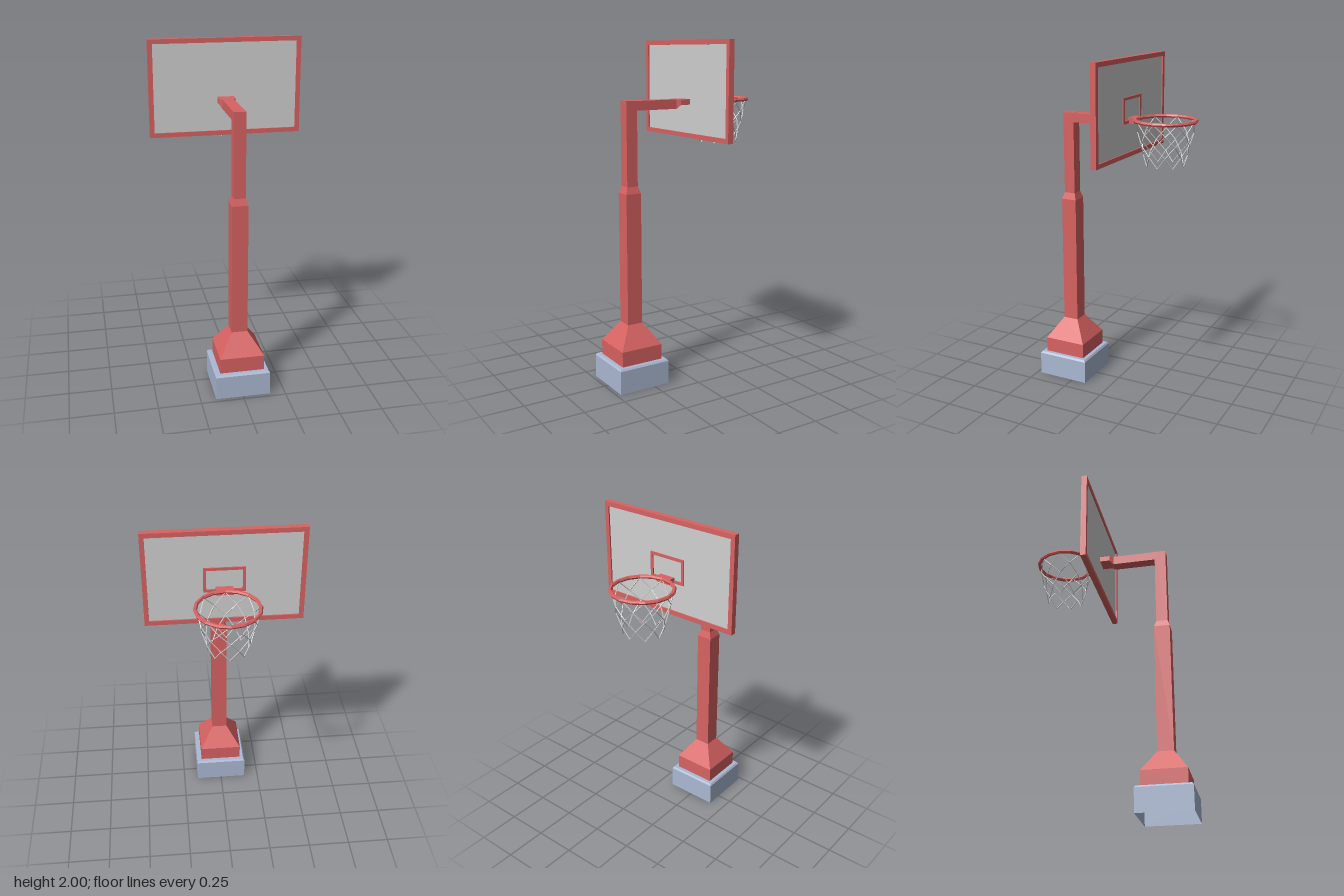
import * as THREE from 'three';

const red = new THREE.MeshStandardMaterial({ color: 0xd86262, side: THREE.DoubleSide });
red.name = 'red paint';
const blue = new THREE.MeshStandardMaterial({ color: 0xabb9d3, side: THREE.DoubleSide });
blue.name = 'blue grey base';
const grey = new THREE.MeshStandardMaterial({ color: 0xd0d0d0 });
grey.name = 'light grey';

const POLE_Z = 0.315, HOOP_Z = -0.294, BOARD_Z = -0.072;

// Gives every face its own flat normal
function flat(geo) {
  const g = geo.index ? geo.toNonIndexed() : geo;
  g.computeVertexNormals();
  return g;
}

function add(group, name, geo, mat, x = 0, y = 0, z = 0) {
  const mesh = new THREE.Mesh(geo, mat);
  mesh.name = name;
  mesh.position.set(x, y, z);
  group.add(mesh);
  return mesh;
}

// Square tower from [half width, height] pairs
function squareTower(profile) {
  const pts = profile.map(([w, y]) => new THREE.Vector2(w * Math.SQRT2, y));
  return flat(new THREE.LatheGeometry(pts, 4, Math.PI / 4));
}

// Rectangular beam along -z from sections [z, half width, bottom, top]
function beam(sections) {
  const pos = [], idx = [];
  sections.forEach(([z, w, b, t]) => pos.push(-w, b, z, w, b, z, w, t, z, -w, t, z));
  const n = sections.length;
  for (let s = 0; s < n - 1; s++) {
    for (let k = 0; k < 4; k++) {
      const a = s * 4 + k, b = s * 4 + (k + 1) % 4;
      idx.push(a, a + 4, b, b, a + 4, b + 4);
    }
  }
  const e = (n - 1) * 4;
  idx.push(0, 1, 2, 0, 2, 3, e, e + 2, e + 1, e, e + 3, e + 2);
  const g = new THREE.BufferGeometry();
  g.setAttribute('position', new THREE.Float32BufferAttribute(pos, 3));
  g.setIndex(idx);
  return flat(g);
}

// Rectangular frame centred on its own origin
function frame(w, h, border, depth) {
  const rect = (S, a, b) => new S([
    new THREE.Vector2(-a, -b), new THREE.Vector2(a, -b),
    new THREE.Vector2(a, b), new THREE.Vector2(-a, b)]);
  const shape = rect(THREE.Shape, w / 2, h / 2);
  shape.holes.push(rect(THREE.Path, w / 2 - border, h / 2 - border));
  const g = new THREE.ExtrudeGeometry(shape, { depth, bevelEnabled: false });
  g.translate(0, 0, -depth / 2);
  return g;
}

function createNet() {
  const net = new THREE.Group();
  net.name = 'net';
  // Rows of knots: [radius, height]
  const rows = [[0.168, 1.655], [0.158, 1.59], [0.144, 1.527], [0.125, 1.463], [0.11, 1.4]];
  const count = 8, up = new THREE.Vector3(0, 1, 0);
  const knot = (r, i) => {
    const a = (i + (r % 2) * 0.5) / count * Math.PI * 2;
    return new THREE.Vector3(Math.sin(a) * rows[r][0], rows[r][1], Math.cos(a) * rows[r][0]);
  };
  for (let r = 0; r < rows.length - 1; r++) {
    for (let i = 0; i < count; i++) {
      for (const side of [0, 1]) {
        const a = knot(r, i), b = knot(r + 1, i + side - (r % 2 ? 0 : 1));
        const dir = b.clone().sub(a);
        const geo = flat(new THREE.CylinderGeometry(0.003, 0.003, dir.length(), 4));
        const strand = add(net, 'netStrand', geo, grey);
        strand.position.copy(a).add(b).multiplyScalar(0.5);
        strand.quaternion.setFromUnitVectors(up, dir.normalize());
      }
    }
  }
  net.position.z = HOOP_Z;
  return net;
}

export function createModel() {
  const model = new THREE.Group();
  model.name = 'basketballHoop';

  // Hollow foot, open underneath
  add(model, 'foot', squareTower([[0.16, 0], [0.16, 0.139], [0.152, 0.15], [0.125, 0.15]]), blue, 0, 0, POLE_Z);

  // Stepped column with flared bottom
  add(model, 'column', squareTower([
    [0.13, 0.15], [0.13, 0.24], [0.047, 0.365], [0.047, 1.14],
    [0.034, 1.18], [0.034, 1.665], [0, 1.665]]), red, 0, 0, POLE_Z);

  // Arm, widening into the hoop bracket
  add(model, 'arm', beam([
    [0.345, 0.034, 1.61, 1.664], [0.02, 0.034, 1.61, 1.664],
    [-0.003, 0.048, 1.632, 1.664], [-0.12, 0.048, 1.632, 1.664]]), red);

  // Backboard
  add(model, 'boardFrame', frame(0.884, 0.56, 0.026, 0.034), red, 0, 1.72, BOARD_Z);
  add(model, 'boardPanel', new THREE.BoxGeometry(0.84, 0.516, 0.018), grey, 0, 1.72, BOARD_Z);
  add(model, 'targetSquare', frame(0.23, 0.148, 0.016, 0.008), red, 0, 1.708, BOARD_Z - 0.012);

  // Hoop and net
  const ring = flat(new THREE.TorusGeometry(0.173, 0.011, 6, 16));
  add(model, 'hoop', ring, red, 0, 1.657, HOOP_Z).rotation.x = Math.PI / 2;
  model.add(createNet());

  return model;
}
